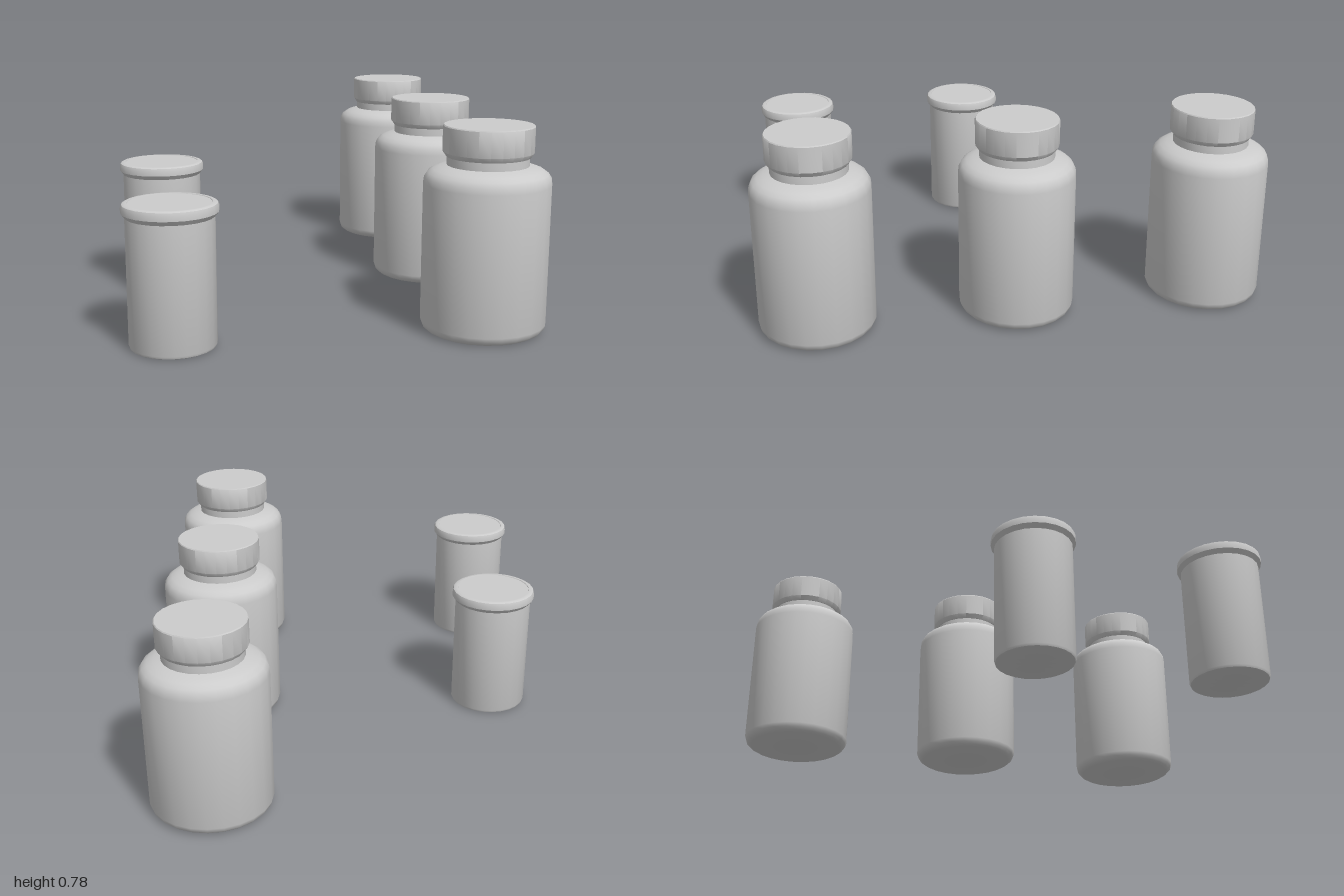
import * as THREE from 'three';
import { toCreasedNormals } from 'three/addons/utils/BufferGeometryUtils.js';

const material = new THREE.MeshStandardMaterial({ color: 0xcccccc });
const DEPTH = 0.948; // cross-sections are slightly narrower in z than in x

// Turned part from [radius, height] points, listed bottom to top
function turned(name, profile) {
  const points = profile.map(([r, y]) => new THREE.Vector2(r, y));
  const geometry = new THREE.LatheGeometry(points, 24);
  geometry.scale(1, 1, DEPTH);
  const mesh = new THREE.Mesh(toCreasedNormals(geometry, 0.62), material);
  mesh.name = name;
  return mesh;
}

// Wide bottle: rounded shoulder, short neck, screw cap
function createBottle() {
  const bottle = new THREE.Group();
  bottle.name = 'bottle';
  bottle.add(
    turned('bottleBody', [
      [0, 0], [0.206, 0], [0.219, 0.007], [0.23, 0.018], [0.236, 0.035],
      [0.236, 0.56], [0.233, 0.583], [0.222, 0.601], [0.203, 0.614],
      [0.178, 0.623], [0.152, 0.629], [0.152, 0.67], [0, 0.67],
    ]),
    turned('bottleCap', [
      [0, 0.66], [0.155, 0.66], [0.168, 0.678], [0.168, 0.773],
      [0.165, 0.777], [0, 0.777],
    ]),
  );
  return bottle;
}

// Slim straight canister with an overhanging snap lid
function createCanister() {
  const canister = new THREE.Group();
  canister.name = 'canister';
  canister.add(
    turned('canisterBody', [
      [0, 0], [0.148, 0], [0.156, 0.004], [0.16, 0.013], [0.16, 0.5], [0, 0.5],
    ]),
    turned('canisterLid', [
      [0, 0.482], [0.16, 0.482], [0.1737, 0.499], [0.1737, 0.518],
      [0.17, 0.529], [0.163, 0.533], [0.151, 0.533], [0.15, 0.531], [0, 0.531],
    ]),
  );
  return canister;
}

export function createModel() {
  const model = new THREE.Group();
  model.name = 'containers';

  // Row of three bottles on the left
  for (const z of [-0.776, 0, 0.776]) {
    const bottle = createBottle();
    bottle.position.set(0.547, 0, z);
    model.add(bottle);
  }

  // Two canisters on the right
  for (const z of [0, 0.776]) {
    const canister = createCanister();
    canister.position.set(-0.613, 0, z);
    model.add(canister);
  }
  return model;
}
